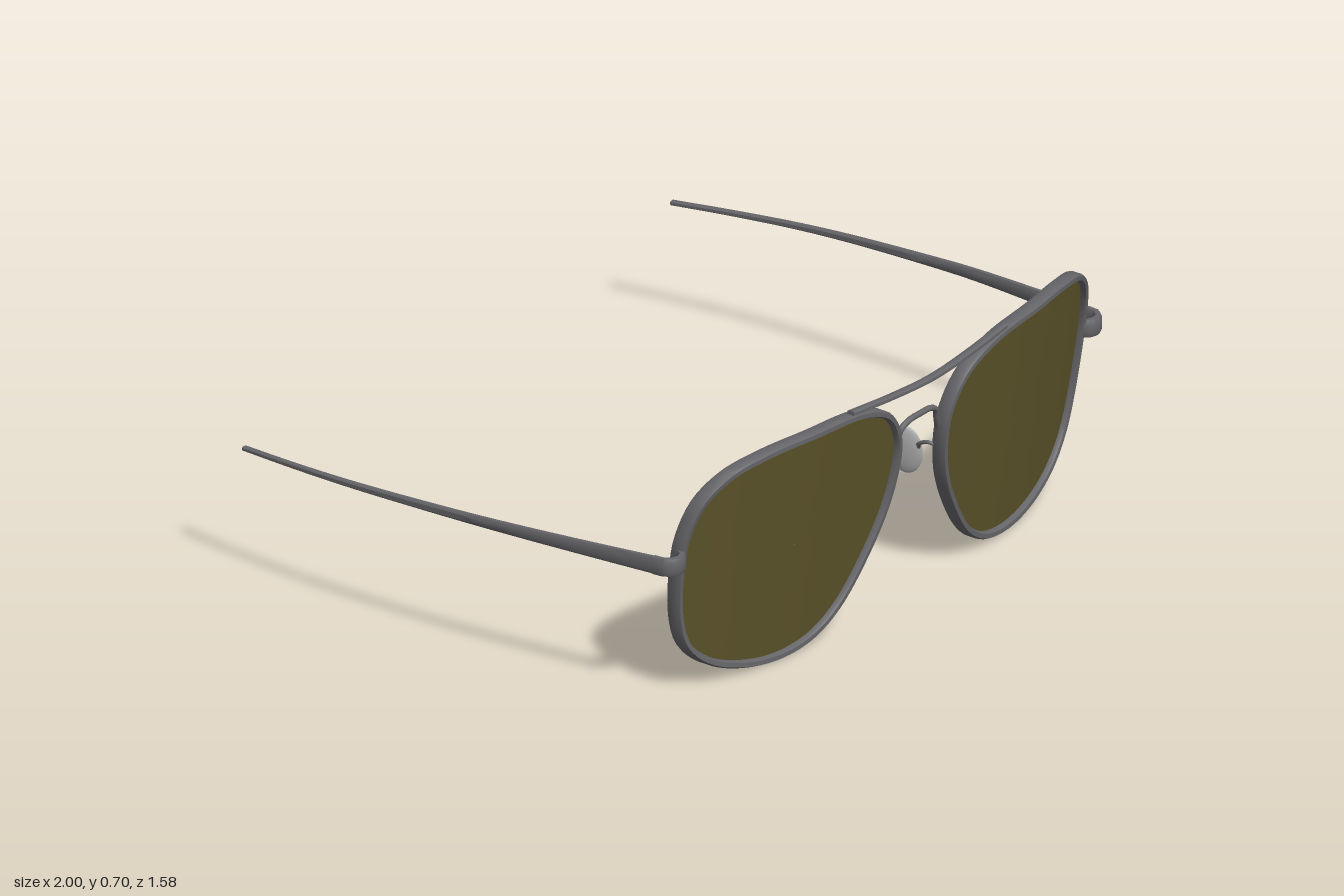
import * as THREE from 'three';
import { toCreasedNormals } from 'three/addons/utils/BufferGeometryUtils.js';

const V = (x, y, z) => new THREE.Vector3(x, y, z);
const curveOf = (pts, closed = false) =>
  new THREE.CatmullRomCurve3(pts.map(p => V(...p)), closed, 'centripetal');

// Wrapped front surface that rim and lens both follow
const surfaceZ = (x, y) => 0.785 - 0.19 * Math.abs(x) ** 3 - 0.15 * (0.69 - y);

// Skin a list of rings; rings may join end to end, or be capped
function loft(rings, { closed = false, caps = false } = {}) {
  const m = rings[0].length, n = rings.length, pos = [], idx = [];
  rings.forEach(r => r.forEach(p => pos.push(p.x, p.y, p.z)));
  for (let i = 0; i < (closed ? n : n - 1); i++) {
    for (let j = 0; j < m; j++) {
      const k = (j + 1) % m, i2 = (i + 1) % n;
      const a = i * m + j, b = i * m + k, c = i2 * m + j, d = i2 * m + k;
      idx.push(a, b, c, b, d, c);
    }
  }
  if (caps) {
    for (let j = 1; j < m - 1; j++) {
      const e = (n - 1) * m;
      idx.push(0, j + 1, j, e, e + j, e + j + 1);
    }
  }
  const g = new THREE.BufferGeometry();
  g.setAttribute('position', new THREE.Float32BufferAttribute(pos, 3));
  g.setIndex(idx);
  g.computeVertexNormals();
  return g;
}

// Sweep a chamfered bar along a curve; size(t) gives half width and half height
const SECTION = [[1, -0.6], [1, 0.6], [0.6, 1], [-0.6, 1], [-1, 0.6], [-1, -0.6], [-0.6, -1], [0.6, -1]];
function sweep(curve, steps, size, up, closed = false) {
  const rings = [];
  for (let i = 0; i < (closed ? steps : steps + 1); i++) {
    const t = i / steps, p = curve.getPointAt(t), dir = curve.getTangentAt(t);
    const a = up.clone().cross(dir).normalize(), b = dir.clone().cross(a);
    const [w, h] = size(t);
    rings.push(SECTION.map(([u, v]) => p.clone().addScaledVector(a, u * w).addScaledVector(b, v * h)));
  }
  return toCreasedNormals(loft(rings, { closed, caps: !closed }), 0.6);
}

// Mirror a geometry across x = 0 and restore its winding
function mirrored(geo) {
  const g = geo.index ? geo.toNonIndexed() : geo.clone();
  g.scale(-1, 1, 1);
  for (const attr of Object.values(g.attributes)) {
    const s = attr.itemSize, arr = attr.array;
    for (let i = 0; i < attr.count; i += 3) {
      for (let k = 0; k < s; k++) {
        const p = (i + 1) * s + k, q = (i + 2) * s + k;
        [arr[p], arr[q]] = [arr[q], arr[p]];
      }
    }
  }
  return g;
}

export function createModel() {
  const metal = new THREE.MeshStandardMaterial({ color: 0x66666a });
  metal.name = 'gunmetal grey';
  const tint = new THREE.MeshStandardMaterial({ color: 0x5e552b, side: THREE.DoubleSide });
  tint.name = 'olive lens';
  const silicone = new THREE.MeshStandardMaterial({ color: 0xb4b4b4 });
  silicone.name = 'pale pad';

  const model = new THREE.Group();
  model.name = 'sunglasses';
  const add = (name, geo, mat) => {
    const mesh = new THREE.Mesh(geo, mat);
    mesh.name = name;
    model.add(mesh);
  };
  const addPair = (name, geo, mat) => {
    add('left' + name, geo, mat);
    add('right' + name, mirrored(geo), mat);
  };
  const X = V(1, 0, 0), Y = V(0, 1, 0), Z = V(0, 0, 1);

  // Rim: outer outline drawn in slightly, then laid on the wrapped surface
  const cx = 0.49, cy = 0.346;
  const outline = [
    [0.49, 0.69], [0.28, 0.678], [0.16, 0.625], [0.103, 0.535], [0.095, 0.45], [0.12, 0.33],
    [0.18, 0.21], [0.275, 0.085], [0.37, 0.024], [0.49, 0.003], [0.62, 0.018], [0.75, 0.067],
    [0.83, 0.14], [0.867, 0.24], [0.884, 0.4], [0.88, 0.49], [0.845, 0.59], [0.77, 0.655], [0.65, 0.685],
  ].map(([x, y]) => {
    const px = cx + (x - cx) * 0.973, py = cy + (y - cy) * 0.971;
    return [px, py, surfaceZ(px, py) - 0.02];
  });
  const rimCurve = curveOf(outline, true);
  addPair('Rim', sweep(rimCurve, 96, () => [0.0105, 0.021], Z, true), metal);

  // Lens: outline shrunk towards its centre, following the same surface
  const edge = rimCurve.getSpacedPoints(72).slice(0, 72);
  const lensRings = [1, 0.85, 0.68, 0.5, 0.3, 0.12, 0.001].map(s => edge.map(p => {
    const x = cx + (p.x - cx) * s, y = cy + (p.y - cy) * s;
    return V(x, y, surfaceZ(x, y) - 0.016);
  }));
  addPair('Lens', loft(lensRings), tint);

  // Brow bar resting on the rims
  const brow = curveOf([[-0.335, 0.691, 0.763], [-0.17, 0.679, 0.773], [0, 0.672, 0.778],
    [0.17, 0.679, 0.773], [0.335, 0.691, 0.763]]);
  add('browBar', sweep(brow, 32, () => [0.012, 0.007], Y), metal);

  // Arched nose bridge
  const bridge = curveOf([[-0.1, 0.475, 0.722], [-0.087, 0.505, 0.728], [-0.075, 0.537, 0.734],
    [-0.045, 0.553, 0.738], [0, 0.556, 0.74], [0.045, 0.553, 0.738],
    [0.075, 0.537, 0.734], [0.087, 0.505, 0.728], [0.1, 0.475, 0.722]]);
  add('bridge', new THREE.TubeGeometry(bridge, 48, 0.0085, 10), metal);

  // Nose pad and its wire arm
  const pad = new THREE.SphereGeometry(1, 24, 16);
  pad.scale(0.013, 0.078, 0.045);
  pad.rotateZ(0.22);
  pad.rotateY(0.42);
  pad.translate(0.11, 0.37, 0.61);
  addPair('NosePad', pad, silicone);
  const arm = curveOf([[0.11, 0.41, 0.715], [0.097, 0.42, 0.69], [0.098, 0.405, 0.66],
    [0.118, 0.385, 0.645], [0.118, 0.375, 0.615]]);
  addPair('PadArm', new THREE.TubeGeometry(arm, 24, 0.0055, 8), metal);

  // End piece wrapping from the rim to the hinge
  const endPiece = curveOf([[0.872, 0.43, 0.595], [0.892, 0.43, 0.626], [0.92, 0.43, 0.63],
    [0.944, 0.43, 0.61], [0.95, 0.43, 0.575]]);
  addPair('EndPiece', sweep(endPiece, 20, () => [0.011, 0.025], Y), metal);

  // Temple: bowed outward, tapering towards the tip
  const temple = curveOf([[0.947, 0.431, 0.61], [0.967, 0.426, 0.4], [0.985, 0.42, 0.17], [0.99, 0.413, 0],
    [0.989, 0.402, -0.25], [0.98, 0.392, -0.43], [0.96, 0.38, -0.62], [0.936, 0.369, -0.79]]);
  addPair('Temple', sweep(temple, 40, t => [0.009, 0.025 - 0.033 * t + 0.014 * t * t], Y), metal);

  return model;
}
